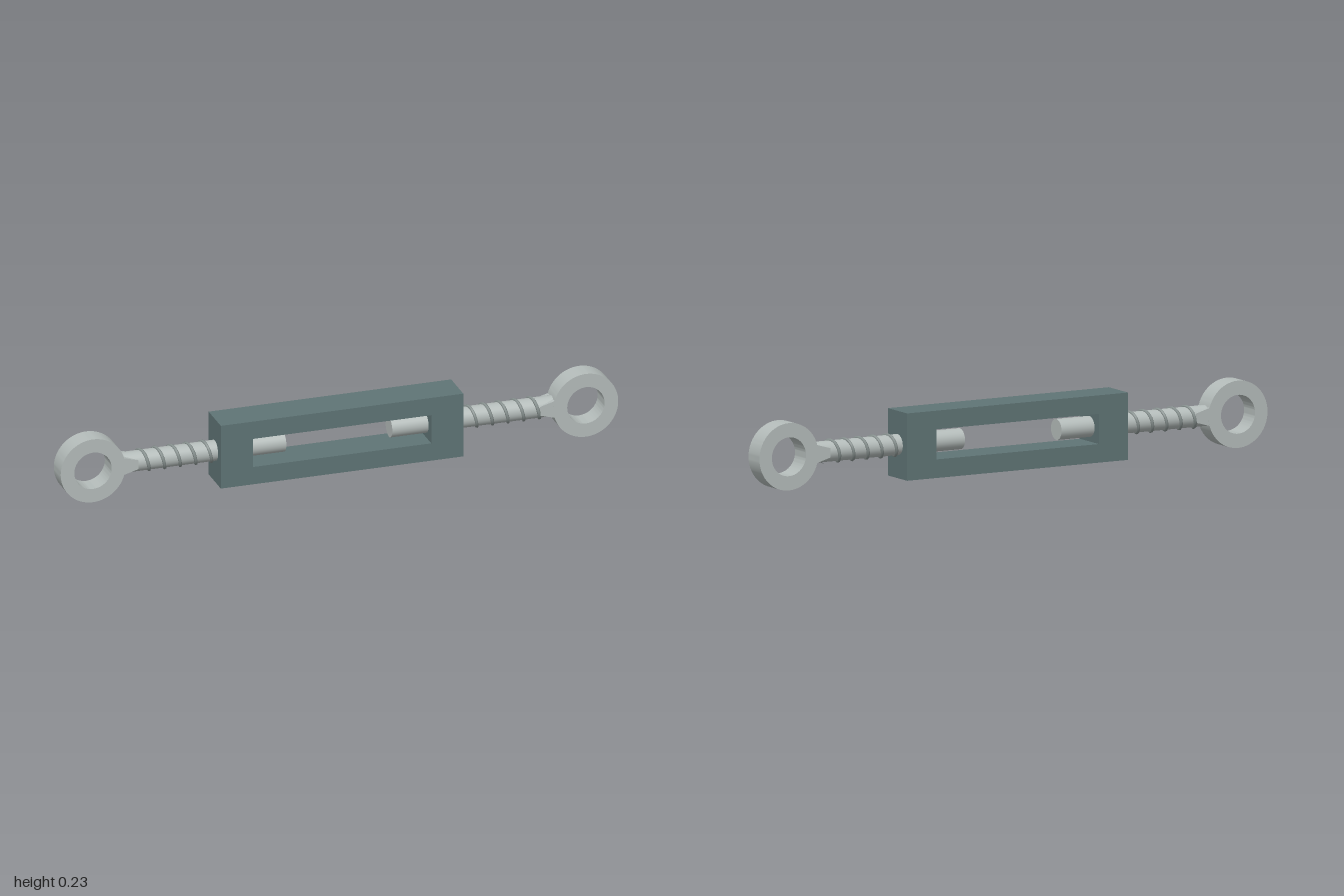
import * as THREE from 'three';
import { toCreasedNormals } from 'three/addons/utils/BufferGeometryUtils.js';

const CY = 0.116; // height of the common axis

const frameMat = new THREE.MeshStandardMaterial({ color: 0x5f7475 });
const steelMat = new THREE.MeshStandardMaterial({ color: 0xb4bcba });
const threadMat = new THREE.MeshStandardMaterial({ color: 0x8a9492 });

function part(name, geometry, material) {
  const mesh = new THREE.Mesh(geometry, material);
  mesh.name = name;
  return mesh;
}

// Extrudes a shape in xy, centred on z = 0
function plate(shape, depth) {
  const g = new THREE.ExtrudeGeometry(shape, { depth, bevelEnabled: false, curveSegments: 48 });
  return toCreasedNormals(g.translate(0, 0, -depth / 2), 0.5);
}

function polygon(points, Type = THREE.Shape) {
  return new Type(points.map(([x, y]) => new THREE.Vector2(x, y)));
}

const rect = (w, h) => [[-w, -h], [w, -h], [w, h], [-w, h]];

// Right-handed screw thread around the x axis
class Helix extends THREE.Curve {
  constructor(start, end, radius, pitch) {
    super();
    Object.assign(this, { start, end, radius, pitch });
  }
  getPoint(t, target = new THREE.Vector3()) {
    const x = (this.end - this.start) * t;
    const a = (x / this.pitch) * Math.PI * 2;
    return target.set(this.start + x, this.radius * Math.cos(a), this.radius * Math.sin(a));
  }
}

// One threaded eye bolt pointing along +x
function eyeBolt(name) {
  const bolt = new THREE.Group();
  bolt.name = name;

  // Round shank, running from inside the window to the eye
  const rod = new THREE.CylinderGeometry(0.036, 0.036, 0.59, 28).rotateZ(-Math.PI / 2);
  bolt.add(part('rod', rod.translate(0.485, 0, 0), steelMat));

  // Raised thread on the exposed part of the shank
  const helix = new Helix(0.42, 0.73, 0.0365, 0.056);
  bolt.add(part('thread', new THREE.TubeGeometry(helix, 180, 0.006, 6), threadMat));

  // Flat tapered neck between shank and eye
  const neck = polygon([[0.72, -0.016], [0.79, -0.036], [0.79, 0.036], [0.72, 0.016]]);
  bolt.add(part('neck', plate(neck, 0.073), steelMat));

  // Eye ring
  const ring = new THREE.Shape().absarc(0, 0, 0.116, 0, Math.PI * 2);
  ring.holes.push(new THREE.Path().absarc(0, 0, 0.067, 0, Math.PI * 2, true));
  const eye = part('eye', plate(ring, 0.074), steelMat);
  eye.position.x = 0.884;
  bolt.add(eye);

  bolt.position.y = CY;
  return bolt;
}

export function createModel() {
  const model = new THREE.Group();
  model.name = 'turnbuckle';

  // Rectangular body with a long window
  const outline = polygon(rect(0.435, 0.116));
  outline.holes.push(polygon(rect(0.32, 0.052), THREE.Path));
  const body = part('body', plate(outline, 0.13), frameMat);
  body.position.y = CY;
  model.add(body);

  // Two identical bolts, one turned to face the other way
  const left = eyeBolt('leftEyeBolt');
  const right = eyeBolt('rightEyeBolt');
  right.rotation.y = Math.PI;
  model.add(left, right);

  return model;
}
